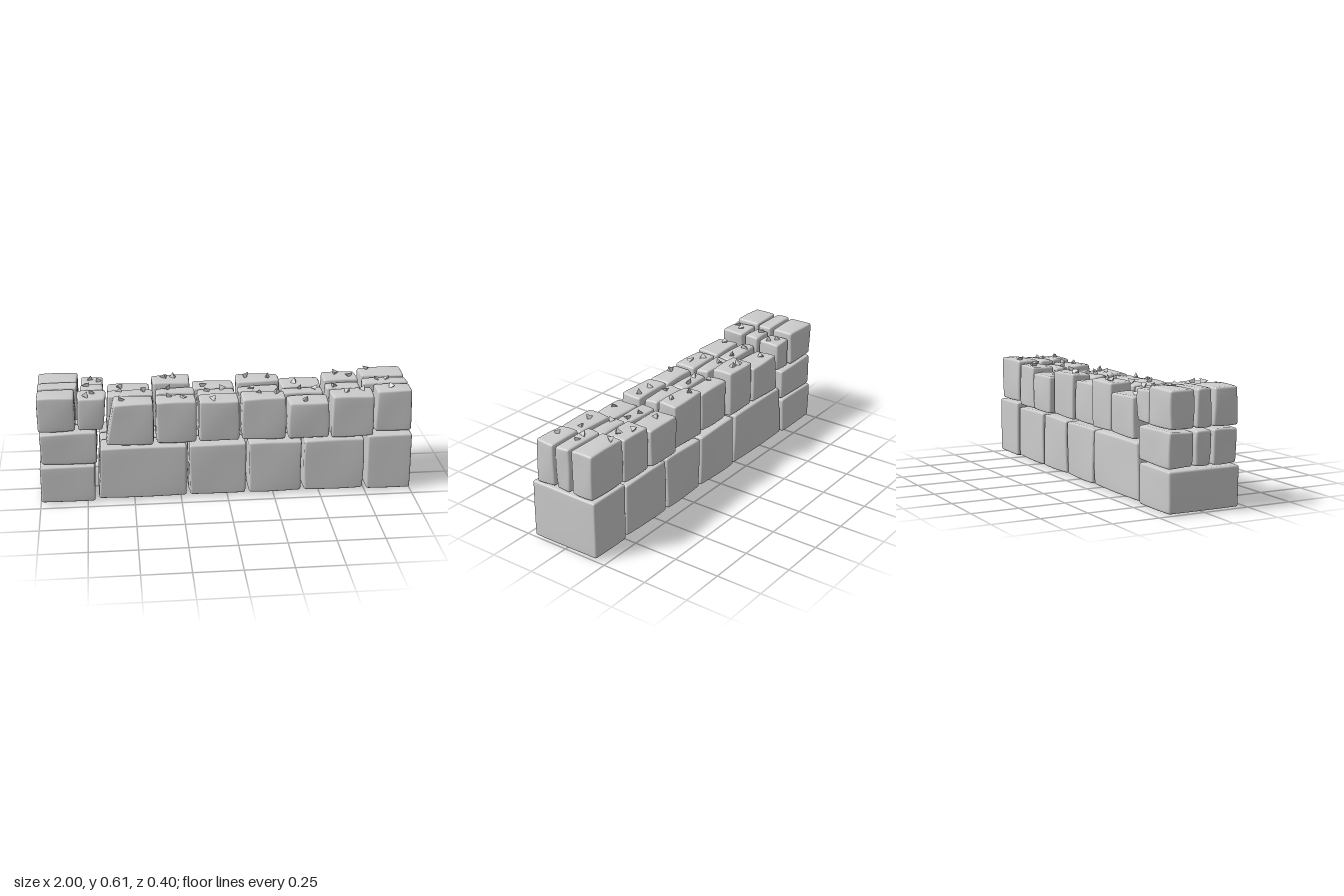
import * as THREE from 'three';
import { mergeVertices } from 'three/addons/utils/BufferGeometryUtils.js';

const stoneMat = new THREE.MeshStandardMaterial({ color: 0xcccccc });
stoneMat.name = 'grey stone';

// Small seeded random
let seed = 7;
const rnd = () => {
  seed = (seed * 16807) % 2147483647;
  return seed / 2147483647;
};

// Rounded, slightly lumpy block. x0/x1 at the bottom, t0/t1 at the top.
function stone(name, x0, x1, y0, y1, z0, z1, t0 = x0, t1 = x1, lump = 0.006) {
  const r = 0.012, n = 10;
  const box = new THREE.BoxGeometry(2, 2, 2, n, n, n);
  box.deleteAttribute('uv');
  box.deleteAttribute('normal');
  const g = mergeVertices(box, 1e-4);
  const p = g.attributes.position;
  const half = [(x1 - x0) / 2, (y1 - y0) / 2, (z1 - z0) / 2];
  const ph = [rnd() * 6, rnd() * 6, rnd() * 6];
  const v = new THREE.Vector3(), c = new THREE.Vector3();
  for (let i = 0; i < p.count; i++) {
    // Crowd the outer grid lines into the rounded rim
    const q = [p.getX(i), p.getY(i), p.getZ(i)].map((u, k) => {
      const s = Math.round(Math.abs(u) * n / 2);
      const d = s === 5 ? half[k] : s === 4 ? half[k] - r * 0.45 : (half[k] - r) * s / 3;
      return Math.sign(u) * d;
    });
    v.fromArray(q);
    c.fromArray(q.map((u, k) => THREE.MathUtils.clamp(u, r - half[k], half[k] - r)));
    v.sub(c);
    if (v.length() > 0) v.setLength(r);
    v.add(c);
    // Shallow hollows and bumps, kept inside the block's outline
    const f = [v.x / half[0], v.y / half[1], v.z / half[2]];
    const w = half.map((h, k) => {
      const m = f[(k + 1) % 3], o = f[(k + 2) % 3];
      const wave = Math.sin(1.9 * m + ph[k]) * Math.cos(1.6 * o + ph[(k + 1) % 3]);
      return 1 - lump * (0.5 + 0.5 * wave + 0.3 * (m * m + o * o)) / h;
    });
    const t = (f[1] + 1) / 2;
    const left = THREE.MathUtils.lerp(x0, t0, t), right = THREE.MathUtils.lerp(x1, t1, t);
    p.setXYZ(i,
      (left + right) / 2 + f[0] * w[0] * (right - left) / 2,
      (y0 + y1) / 2 + v.y * w[1],
      (z0 + z1) / 2 + v.z * w[2]);
  }
  g.computeVertexNormals();
  const mesh = new THREE.Mesh(g, stoneMat);
  mesh.name = name;
  return mesh;
}

// Angular chip of stone lying on top of the wall
function chip(x, y, z) {
  const g = new THREE.TetrahedronGeometry(0.024, 0);
  g.scale(0.8 + rnd() * 0.5, 0.9, 0.8 + rnd() * 0.5);
  const mesh = new THREE.Mesh(g, stoneMat);
  mesh.name = 'stoneChip';
  mesh.position.set(x, y, z);
  mesh.rotation.set(rnd() * 6, rnd() * 6, rnd() * 6);
  return mesh;
}

// Layers through the thickness; joints are the x positions between upper stones,
// lean tips the step beside the taller end, inset sets outer faces back per stone
const layers = [
  {
    name: 'front', z0: 0.05, z1: 0.195, lean: 0.045,
    joints: [-0.793, -0.65, -0.383, -0.155, 0.073, 0.322, 0.553, 0.794],
    tops: [0.606, 0.595, 0.555, 0.555, 0.55, 0.557, 0.525, 0.555, 0.572],
    inset: [0, 0.005, 0.005, 0.015, 0.015, 0.015, 0.007, 0.003, 0.023],
  },
  {
    name: 'middle', z0: -0.048, z1: 0.046, lean: 0.01,
    joints: [-0.778, -0.645, -0.375, -0.156, 0.063, 0.303, 0.543, 0.743],
    tops: [0.606, 0.59, 0.55, 0.555, 0.54, 0.55, 0.53, 0.55, 0.572],
    inset: [],
  },
  {
    name: 'back', z0: -0.198, z1: -0.052, lean: 0.015,
    joints: [-0.776, -0.647, -0.392, -0.172, 0.066, 0.314, 0.544, 0.748],
    tops: [0.605, 0.58, 0.53, 0.575, 0.54, 0.568, 0.53, 0.56, 0.578],
    inset: [0.003, 0.013, 0.003, 0.008, 0.028, 0.02, 0, 0.008, 0.006],
  },
];

export function createModel() {
  seed = 7;
  const wall = new THREE.Group();
  wall.name = 'stoneWall';
  const lower = new THREE.Group(), upper = new THREE.Group(), chips = new THREE.Group();
  lower.name = 'lowerCourse';
  upper.name = 'upperCourse';
  chips.name = 'stoneChips';
  wall.add(lower, upper, chips);

  // Full-depth end blocks
  lower.add(
    stone('leftEndBlock', 0.757, 1, 0.008, 0.327, -0.2, 0.202, 0.753, 1, 0.002),
    stone('rightEndBlock', -1, -0.708, 0.004, 0.217, -0.2, 0.202, -1, -0.702, 0.003),
  );

  const gap = 0.003;
  const lowJoints = [-0.7, -0.211, 0.108, 0.408, 0.748];
  layers.forEach(({ name, z0, z1, lean, joints, tops, inset }, k) => {
    // Lower course, its first stone tipped at the tall end
    for (let i = 0; i < 4; i++) {
      const a = lowJoints[i] + gap, b = lowJoints[i + 1] - gap;
      lower.add(stone(name + 'LowerStone', a, b, k === 1 ? 0 : 0.008, 0.31, z0, z1, i === 0 ? a + 0.018 : a, b));
    }
    // Second course of the taller end
    lower.add(stone(name + 'RightEndStone', -0.99, -0.69, 0.218, 0.404, z0, z1, -0.998, -0.685));

    // Upper course
    tops.forEach((top, i) => {
      const a = i === 0 ? -1 : joints[i - 1] + gap;
      const b = i === 8 ? 1 : joints[i] - gap;
      const base = i < 2 ? 0.406 : i === 8 ? 0.328 : 0.312;
      const cut = inset[i] ?? 0;
      const back = k === 2 ? z0 + cut : z0, front = k === 0 ? z1 - cut : z1;
      upper.add(stone(name + 'UpperStone', a, b, base, top, back, front,
        i === 2 ? a + lean : a, i === 1 ? b + lean / 2 : b));

      // One or two chips on each stone but the end one
      const count = i === 0 ? 0 : 1 + (i + k) % 2;
      for (let j = 0; j < count; j++) {
        const x = THREE.MathUtils.lerp(a, b, 0.2 + 0.35 * j + 0.25 * rnd());
        const z = THREE.MathUtils.lerp(back, front, 0.25 + 0.5 * rnd());
        chips.add(chip(x, top + 0.001, z));
      }
    });
  });
  return wall;
}
